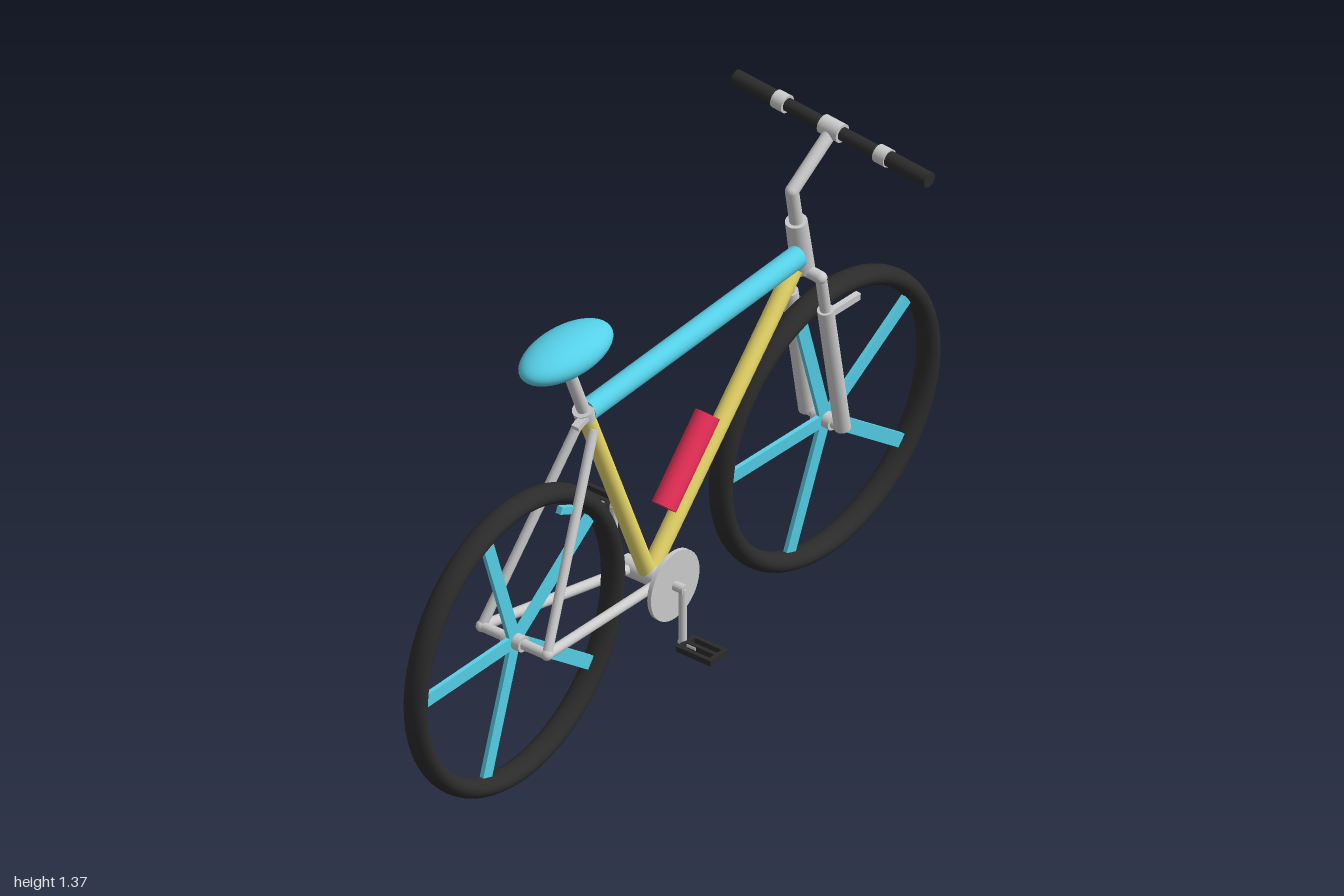
import * as THREE from 'three';

const paint = (color) => new THREE.MeshStandardMaterial({ color });
const grey = paint(0xcccccc);
const cyan = paint(0x55d0e8);
const yellow = paint(0xe6d667);
const black = paint(0x2b2b2b);
const red = paint(0xea2f58);

const V = (x, y, z = 0) => new THREE.Vector3(x, y, z);
const UP = V(0, 1, 0);

function add(parent, name, geometry, material, x = 0, y = 0, z = 0) {
  const mesh = new THREE.Mesh(geometry, material);
  mesh.name = name;
  mesh.position.set(x, y, z);
  parent.add(mesh);
  return mesh;
}

// Round tube between two points
function tube(parent, name, a, b, radius, material, radiusEnd = radius) {
  const dir = b.clone().sub(a);
  const geo = new THREE.CylinderGeometry(radiusEnd, radius, dir.length(), 24);
  const mesh = add(parent, name, geo, material);
  mesh.position.copy(a).add(b).multiplyScalar(0.5);
  mesh.quaternion.setFromUnitVectors(UP, dir.normalize());
  return mesh;
}

// Wheel in the local xy plane: tyre, five flat spokes and a hub
function wheel(name, halfAxle) {
  const g = new THREE.Group();
  g.name = name;
  const tyre = add(g, 'tyre', new THREE.TorusGeometry(0.398, 0.026, 20, 72), black);
  tyre.scale.z = 1.3;
  for (let i = 0; i < 5; i++) {
    const a = Math.PI + (i * Math.PI * 2) / 5;
    const spoke = add(g, 'spoke', new THREE.BoxGeometry(0.385, 0.038, 0.012), cyan,
      Math.cos(a) * 0.193, Math.sin(a) * 0.193, 0);
    spoke.rotation.z = a;
  }
  tube(g, 'hub', V(0, 0, -0.03), V(0, 0, 0.03), 0.022, grey);
  tube(g, 'axle', V(0, 0, -halfAxle), V(0, 0, halfAxle), 0.014, grey);
  return g;
}

// Open platform pedal made of bars
function pedal(parent, x, y, z) {
  const g = new THREE.Group();
  g.name = 'pedal';
  g.position.set(x, y, z);
  for (const px of [-0.03, 0, 0.03])
    add(g, 'pedalBar', new THREE.BoxGeometry(0.012, 0.016, 0.11), black, px, 0, 0);
  for (const pz of [-0.05, 0.05])
    add(g, 'pedalEnd', new THREE.BoxGeometry(0.072, 0.016, 0.012), black, 0, 0, pz);
  parent.add(g);
}

// Frame half, with the rear hub as origin and x pointing forward
function rearAssembly() {
  const g = new THREE.Group();
  g.name = 'frame';
  g.add(wheel('rearWheel', 0.112));

  const bb = V(0.539, -0.073);
  const seatTop = V(0.282, 0.545);
  tube(g, 'seatTube', bb, seatTop, 0.023, yellow);
  tube(g, 'downTube', bb, V(1.12, 0.555, 0.005), 0.024, yellow);
  tube(g, 'topTube', V(0.292, 0.545), V(1.132, 0.588, 0.008), 0.03, cyan);

  // Stays to both sides of the wheel
  for (const s of [-1, 1]) {
    tube(g, 'seatStay', V(0, 0, s * 0.106), V(0.29, 0.5, s * 0.024), 0.013, grey);
    tube(g, 'chainStay', V(0, 0, s * 0.106), V(0.52, -0.07, s * 0.05), 0.014, grey);
    add(g, 'dropout', new THREE.SphereGeometry(0.016, 16, 12), grey, 0, 0, s * 0.106);
    const pad = add(g, 'rearBrakePad', new THREE.BoxGeometry(0.06, 0.02, 0.016), cyan,
      0.155, 0.333, s * 0.042);
    pad.rotation.z = -0.43;
  }

  // Seat post, clamp and saddle
  tube(g, 'seatPost', V(0.288, 0.53), V(0.205, 0.735), 0.017, grey);
  tube(g, 'seatClamp', V(0.288, 0.53), V(0.276, 0.559), 0.029, grey);
  const lever = add(g, 'clampLever', new THREE.BoxGeometry(0.06, 0.014, 0.022), grey, 0.255, 0.54, 0.015);
  lever.rotation.z = 0.3;
  const saddle = add(g, 'saddle', new THREE.SphereGeometry(1, 40, 24), cyan, 0.207, 0.765, 0);
  saddle.scale.set(0.163, 0.053, 0.082);

  // Bottle above the down tube
  const along = V(0.68, 0.733).multiplyScalar(0.13);
  const mid = V(0.691, 0.192);
  tube(g, 'bottle', mid.clone().sub(along), mid.clone().add(along), 0.034, red);

  // Bottom bracket, chainring, cranks and pedals
  const at = (y, z) => V(bb.x, bb.y + y, z);
  tube(g, 'bottomBracket', at(0, -0.075), at(0, 0.075), 0.028, grey);
  tube(g, 'chainring', at(0, 0.076), at(0, 0.088), 0.098, grey).geometry =
    new THREE.CylinderGeometry(0.098, 0.098, 0.012, 48);
  tube(g, 'crankAxle', at(0, -0.12), at(0, 0.12), 0.013, grey);
  for (const s of [-1, 1]) {
    tube(g, 'crank', at(0, s * 0.112), at(-s * 0.16, s * 0.112), 0.011, grey);
    tube(g, 'pedalAxle', at(-s * 0.16, s * 0.102), at(-s * 0.16, s * 0.16), 0.008, grey);
    pedal(g, bb.x, bb.y - s * 0.16, s * 0.175);
  }
  return g;
}

// Steered half, with the front hub as origin and x pointing forward
function frontAssembly() {
  const g = new THREE.Group();
  g.name = 'steering';
  g.add(wheel('frontWheel', 0.065));
  const axis = (y, z = 0) => V(-0.217 * y, y, z);

  // Fork with thick lower and thin upper legs
  for (const s of [-1, 1]) {
    tube(g, 'forkLower', axis(0, s * 0.06), axis(0.41, s * 0.06), 0.022, grey);
    tube(g, 'forkUpper', axis(0.4, s * 0.06), axis(0.52, s * 0.06), 0.015, grey);
    add(g, 'forkShoulder', new THREE.SphereGeometry(0.017, 16, 12), grey, -0.113, 0.52, s * 0.06);
    add(g, 'frontBrakePad', new THREE.BoxGeometry(0.12, 0.02, 0.016), grey, 0.0, 0.37, s * 0.042);
  }
  tube(g, 'forkCrown', axis(0.52, -0.06), axis(0.52, 0.06), 0.017, grey);

  // Head tube, steerer and stem
  tube(g, 'headTube', axis(0.52), axis(0.685), 0.031, grey, 0.029);
  const bend = axis(0.788);
  const bar = V(-0.02, 0.905);
  tube(g, 'steerer', axis(0.68), bend, 0.018, grey);
  add(g, 'stemElbow', new THREE.SphereGeometry(0.018, 20, 14), grey, bend.x, bend.y, 0);
  tube(g, 'stem', bend, bar, 0.018, grey);

  // Handlebar with clamp, collars and grips
  const across = (name, z0, z1, r, m) => tube(g, name, V(bar.x, bar.y, z0), V(bar.x, bar.y, z1), r, m);
  across('handlebar', -0.18, 0.18, 0.018, black);
  across('barClamp', -0.032, 0.032, 0.026, grey);
  for (const s of [-1, 1]) {
    across('gripCollar', s * 0.153, s * 0.19, 0.025, grey);
    across('grip', s * 0.18, s * 0.325, 0.021, black);
  }
  return g;
}

export function createModel() {
  const model = new THREE.Group();
  model.name = 'bicycle';
  const rear = rearAssembly();
  rear.position.set(-0.6, 0.427, 0.29);
  rear.rotation.y = THREE.MathUtils.degToRad(21);
  const front = frontAssembly();
  front.position.set(0.595, 0.427, -0.205);
  // Slightly turned and leaning against the frame
  front.rotation.set(0.05, THREE.MathUtils.degToRad(18.7), 0, 'YXZ');
  model.add(rear, front);
  return model;
}
